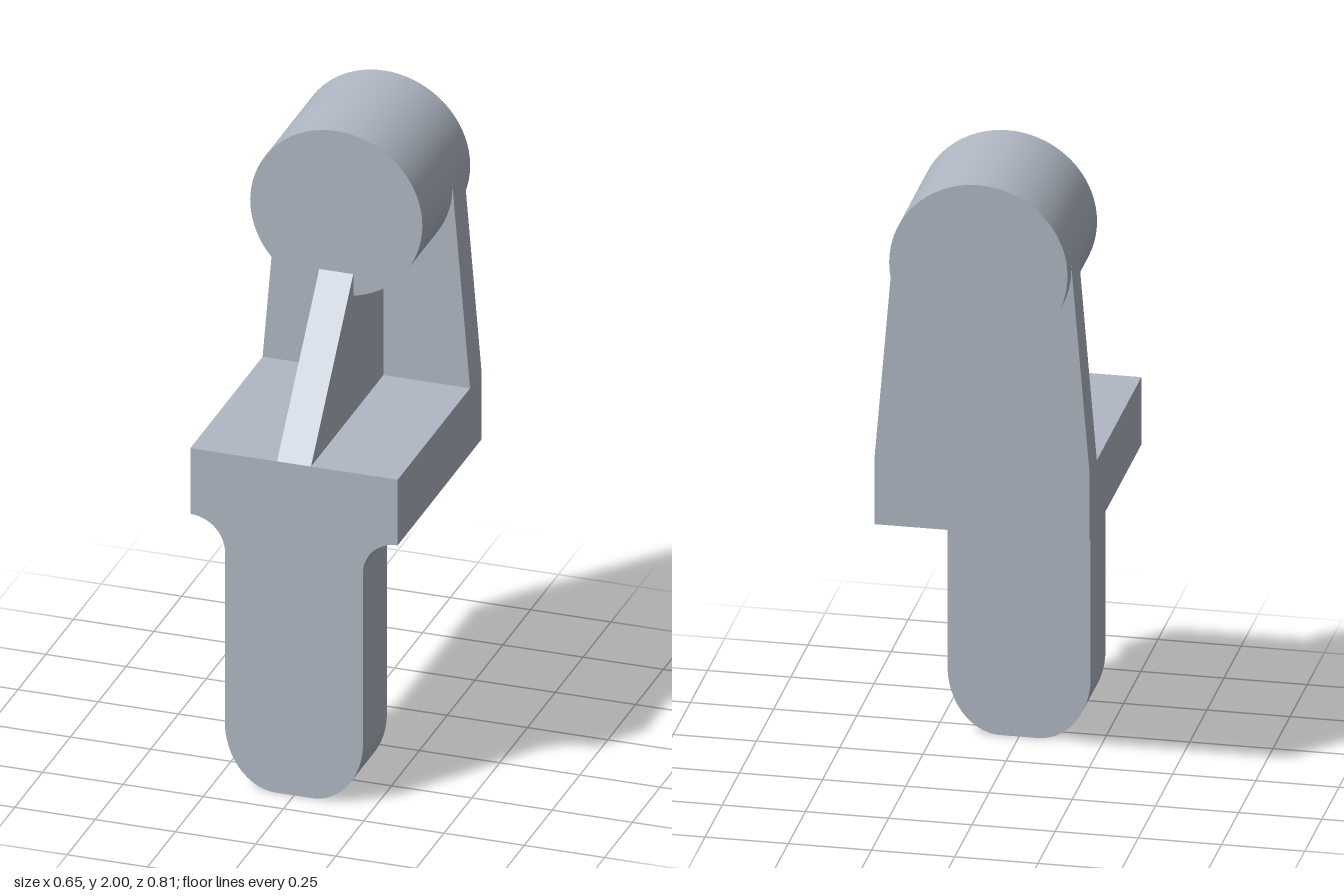
import * as THREE from 'three';
import { toCreasedNormals, mergeVertices } from 'three/addons/utils/BufferGeometryUtils.js';

export function createModel() {
  const group = new THREE.Group();
  group.name = 'bracket';
  const steel = new THREE.MeshStandardMaterial({ color: 0xb0b8c4 });
  steel.name = 'steelGrey';

  const add = (name, geometry) => {
    const mesh = new THREE.Mesh(geometry, steel);
    mesh.name = name;
    group.add(mesh);
    return mesh;
  };
  // Extrudes a front outline between two z positions, keeping curves smooth
  const slab = (shape, z0, z1) => {
    const g = new THREE.ExtrudeGeometry(shape, { depth: z1 - z0, bevelEnabled: false, curveSegments: 20 });
    g.translate(0, 0, z0);
    return toCreasedNormals(g, 0.5);
  };
  const polygon = (pts) => new THREE.Shape(pts.map(([x, y]) => new THREE.Vector2(x, y)));

  const W = 0.323, T = 0.215, R = 0.108;       // shelf half width, tongue half width, fillet radius
  const shelfBottom = 0.87, shelfTop = 1.085;
  const front = 0.405, tongueBack = 0.19, plateFront = -0.245, back = -0.35;

  // Shelf
  const shelf = new THREE.BoxGeometry(2 * W, shelfTop - shelfBottom, front - back);
  shelf.translate(0, (shelfTop + shelfBottom) / 2, (front + back) / 2);
  add('shelf', shelf);

  // Tongue with rounded lower corners and fillets flaring into the shelf
  const rx = 0.16, ry = 0.205;
  const s = new THREE.Shape();
  s.moveTo(-W, shelfBottom);
  s.absarc(-W, shelfBottom - R, R, Math.PI / 2, 0, true);
  s.lineTo(-T, ry);
  s.absellipse(-T + rx, ry, rx, ry, Math.PI, Math.PI * 1.5, false);
  s.lineTo(T - rx, 0);
  s.absellipse(T - rx, ry, rx, ry, Math.PI * 1.5, Math.PI * 2, false);
  s.lineTo(T, shelfBottom - R);
  s.absarc(W, shelfBottom - R, R, Math.PI, Math.PI / 2, true);
  s.closePath();
  add('tongue', slab(s, tongueBack, front));

  // Tapered back plate, tangent to the barrel
  add('backPlate', slab(polygon([[-W, shelfTop], [W, shelfTop], [0.267, 1.755], [-0.267, 1.755]]), back, plateFront));

  // Barrel along z
  const barrel = new THREE.CylinderGeometry(0.268, 0.268, 0.43, 72);
  barrel.rotateX(Math.PI / 2);
  barrel.translate(0, 1.732, -0.19);
  add('barrel', barrel);

  // Sloping centre rib: side profile (z, y) extruded across x
  const rib = new THREE.ExtrudeGeometry(
    polygon([[-front, shelfTop], [-plateFront, shelfTop], [-plateFront, 1.54], [-0.025, 1.54]]),
    { depth: 0.106, bevelEnabled: false });
  rib.translate(0, 0, -0.053);
  rib.rotateY(Math.PI / 2);
  add('rib', rib);

  // Small pyramid gussets behind the tongue's upper corners
  for (const side of [-1, 1]) {
    const x = side * T, y = shelfBottom, z = tongueBack;
    const p = [[x - R, y, z], [x + R, y, z], [x, y - R, z], [x, y, z - R]];
    const faces = [[0, 1, 3], [0, 3, 2], [1, 2, 3], [0, 2, 1]];
    const g = new THREE.BufferGeometry();
    g.setAttribute('position', new THREE.Float32BufferAttribute(
      faces.flatMap(([a, b, c]) => [...p[a], ...p[c], ...p[b]]), 3));
    // Orient every face away from the gusset's middle
    const pos = g.attributes.position, mid = new THREE.Vector3(x, y - R / 4, z - R / 4);
    const [a, b, c] = [0, 1, 2].map(() => new THREE.Vector3());
    for (let i = 0; i < pos.count; i += 3) {
      [a, b, c].forEach((v, k) => v.fromBufferAttribute(pos, i + k));
      const n = b.clone().sub(a).cross(c.clone().sub(a));
      if (n.dot(a.clone().sub(mid)) < 0) {
        pos.setXYZ(i + 1, c.x, c.y, c.z);
        pos.setXYZ(i + 2, b.x, b.y, b.z);
      }
    }
    g.computeVertexNormals();
    add(side > 0 ? 'leftGusset' : 'rightGusset', g);
  }
  return group;
}
